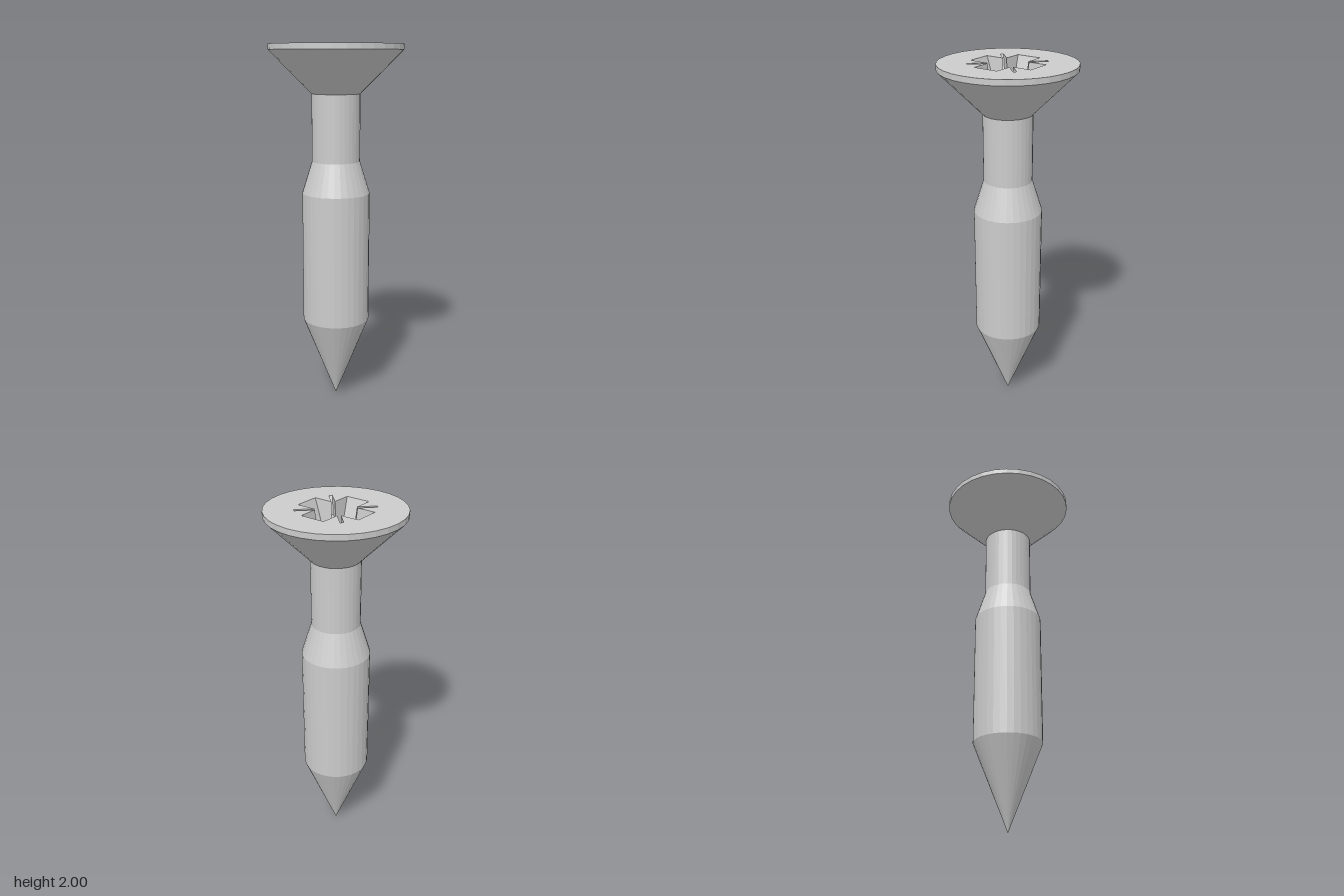
import * as THREE from 'three';

const SIDES = 32;
const TOP = 2, HEAD_R = 0.362;
const RECESS_DEPTH = 0.22, SLIT_DEPTH = 0.09, CENTRE_R = 0.08;

const material = new THREE.MeshStandardMaterial({ color: 0xcccccc, flatShading: true });

function addMesh(group, name, geometry) {
  const mesh = new THREE.Mesh(geometry, material);
  mesh.name = name;
  group.add(mesh);
}

// Turned section, profile given from bottom to top as [radius, height]
function turned(profile) {
  return new THREE.LatheGeometry(profile.map(([r, y]) => new THREE.Vector2(r, y)), SIDES);
}

// Four-fold outline of the drive: one wide arm and one diagonal slit per quarter.
// arm: end distance and half width; inner: where arm meets slit; slit: end distance and half width
function driveOutline({ arm, inner, slit }) {
  const d = Math.SQRT1_2, [u, v] = slit;
  const quarter = [
    [arm[0], -arm[1]], [arm[0], arm[1]],
    inner, [(u + v) * d, (u - v) * d], [(u - v) * d, (u + v) * d], [inner[1], inner[0]],
  ];
  const points = [];
  for (let q = 0; q < 4; q++) {
    for (const [x, y] of quarter) {
      points.push(new THREE.Vector2(x, y).rotateAround(new THREE.Vector2(), q * Math.PI / 2));
    }
  }
  return points;
}

// Surface joining successive outlines, each at its own height
function joinRings(rings) {
  const positions = [];
  for (let k = 0; k < rings.length - 1; k++) {
    const a = rings[k], b = rings[k + 1], n = a.points.length;
    const corner = (ring, i) => [ring.points[i].x, ring.y, -ring.points[i].y];
    for (let i = 0; i < n; i++) {
      const j = (i + 1) % n;
      positions.push(...corner(a, i), ...corner(a, j), ...corner(b, j));
      positions.push(...corner(a, i), ...corner(b, j), ...corner(b, i));
    }
  }
  const geometry = new THREE.BufferGeometry();
  geometry.setAttribute('position', new THREE.Float32BufferAttribute(positions, 3));
  geometry.computeVertexNormals();
  return geometry;
}

export function createModel() {
  const screw = new THREE.Group();
  screw.name = 'screw';

  // Shank from the point up to the head
  addMesh(screw, 'point', turned([[0, 0], [0.187, 0.47]]));
  addMesh(screw, 'body', turned([[0.187, 0.47], [0.187, 1.2]]));
  addMesh(screw, 'shoulder', turned([[0.187, 1.2], [0.132, 1.375]]));
  addMesh(screw, 'neck', turned([[0.132, 1.375], [0.132, 1.74]]));
  addMesh(screw, 'headCone', turned([[0.132, 1.74], [HEAD_R, 1.97]]));
  addMesh(screw, 'headRim', turned([[HEAD_R, 1.97], [HEAD_R, TOP]]));

  // Outlines of the recess at the top, at the slit floor and at the arm floor
  const t = SLIT_DEPTH / RECESS_DEPTH;
  const mix = (a, b) => a.map((value, i) => value + (b[i] - value) * t);
  const topArm = [0.184, 0.068], lowArm = [0.093, 0.046];
  const topInner = [0.081, 0.068], lowInner = [0.066, 0.046];
  const midArm = mix(topArm, lowArm), midInner = mix(topInner, lowInner);
  const mouth = driveOutline({ arm: topArm, inner: topInner, slit: [0.207, 0.009] });
  const slitFloor = driveOutline({ arm: midArm, inner: midInner, slit: [0.17, 0.009] });
  const slitRoot = driveOutline({ arm: midArm, inner: midInner, slit: [0.096, 0.009] });
  const armFloor = driveOutline({ arm: lowArm, inner: lowInner, slit: [CENTRE_R, 0.005] });

  // Round edge of the central dimple, point for point with the arm floor
  const dimple = armFloor.map((p, i) => {
    const side = i % 6;
    const angle = side < 2
      ? Math.floor(i / 6) * Math.PI / 2 + (side === 0 ? -0.21 : 0.21)
      : p.angle();
    return new THREE.Vector2(Math.cos(angle), Math.sin(angle)).multiplyScalar(CENTRE_R);
  });
  const tip = dimple.map(() => new THREE.Vector2());

  // Flat head face with the recess cut out
  const face = new THREE.Shape();
  for (let i = 0; i < SIDES; i++) {
    const a = i / SIDES * Math.PI * 2;
    const x = HEAD_R * Math.cos(a), y = HEAD_R * Math.sin(a);
    if (i === 0) face.moveTo(x, y); else face.lineTo(x, y);
  }
  face.closePath();
  face.holes.push(new THREE.Path(mouth));
  addMesh(screw, 'headFace', new THREE.ShapeGeometry(face).rotateX(-Math.PI / 2).translate(0, TOP, 0));

  // Tapered cross recess, its slits and the conical bottom
  const floorY = TOP - RECESS_DEPTH;
  addMesh(screw, 'driveRecess', joinRings([
    { points: mouth, y: TOP },
    { points: slitFloor, y: TOP - SLIT_DEPTH },
    { points: slitRoot, y: TOP - SLIT_DEPTH },
    { points: armFloor, y: floorY },
    { points: dimple, y: floorY },
  ]));
  addMesh(screw, 'recessTip', joinRings([
    { points: dimple, y: floorY },
    { points: tip, y: floorY - 0.03 },
  ]));

  return screw;
}
